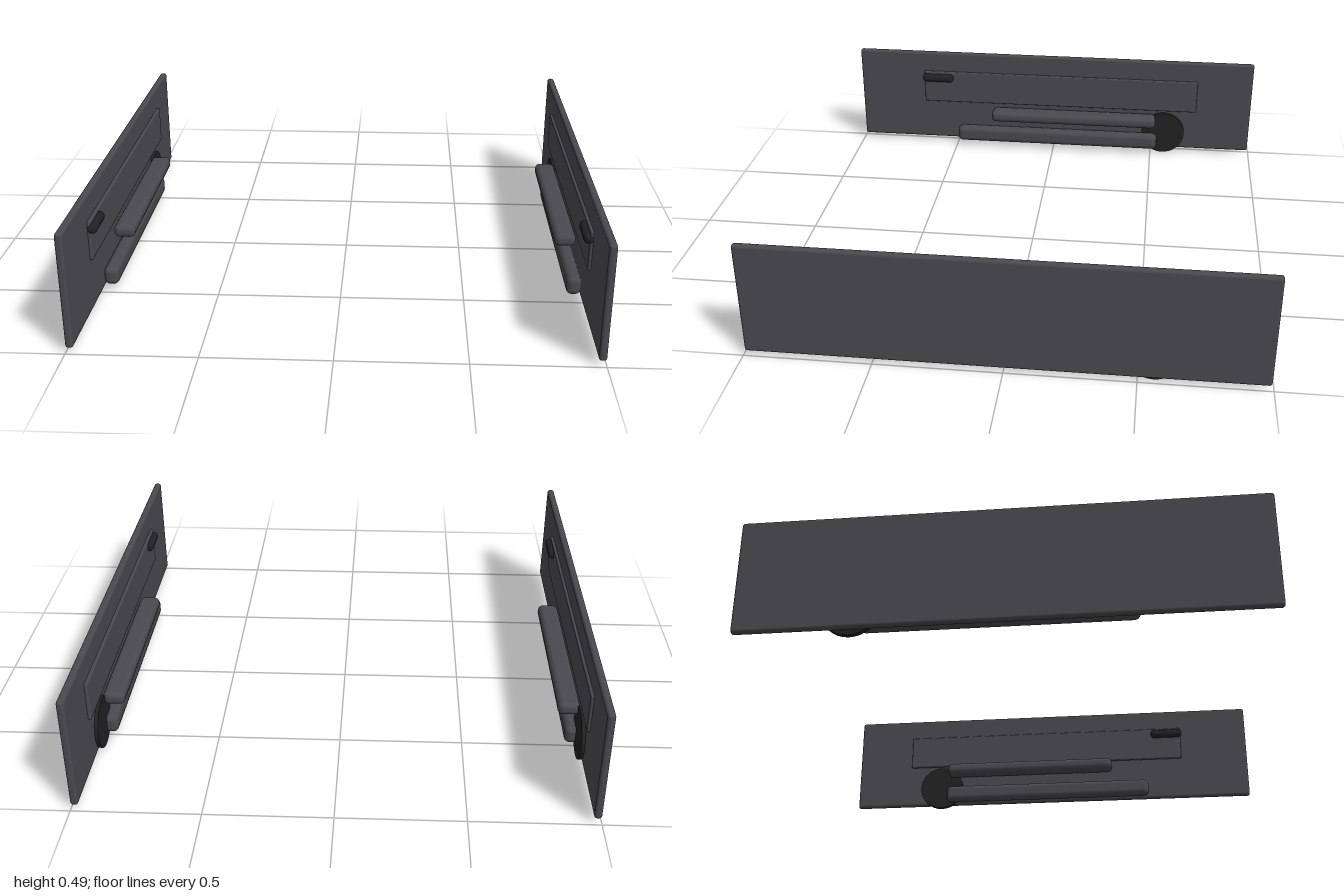
import * as THREE from 'three';
import { RoundedBoxGeometry } from 'three/addons/geometries/RoundedBoxGeometry.js';

const trim = new THREE.MeshStandardMaterial({ color: 0x4a494f });
trim.name = 'charcoal trim';
const black = new THREE.MeshStandardMaterial({ color: 0x222224 });
black.name = 'black plastic';

// Rounded block given by its limits on each axis; x is measured outwards on either side
function block(name, side, [x0, x1], [y0, y1], [z0, z1], radius, material) {
  const geometry = new RoundedBoxGeometry(x1 - x0, y1 - y0, z1 - z0, 2, radius);
  const mesh = new THREE.Mesh(geometry, material);
  mesh.name = name;
  mesh.position.set(side * (x0 + x1) / 2, (y0 + y1) / 2, (z0 + z1) / 2);
  return mesh;
}

// One door card with its fittings on the inner face
function doorCard(side) {
  const door = new THREE.Group();
  door.name = side > 0 ? 'leftDoorCard' : 'rightDoorCard';
  door.add(
    block('panel', side, [0.97, 1], [0.02, 0.487], [-0.993, 0.993], 0.011, trim),
    block('inset', side, [0.958, 0.978], [0.225, 0.388], [-0.722, 0.665], 0.006, trim),
    block('armrest', side, [0.876, 0.965], [0.157, 0.212], [-0.52, 0.312], 0.023, trim),
    block('pocket', side, [0.912, 0.972], [0.026, 0.104], [-0.53, 0.492], 0.024, trim),
    block('handle', side, [0.935, 0.975], [0.337, 0.376], [0.515, 0.67], 0.017, black),
  );

  // Round speaker grille, lying flat against the panel
  const speaker = new THREE.Mesh(new THREE.CylinderGeometry(0.107, 0.107, 0.02, 32), black);
  speaker.name = 'speaker';
  speaker.rotation.z = Math.PI / 2;
  speaker.position.set(side * 0.965, 0.107, -0.56);
  door.add(speaker);
  return door;
}

export function createModel() {
  const model = new THREE.Group();
  model.name = 'doorCards';
  for (const side of [-1, 1]) model.add(doorCard(side));
  return model;
}
